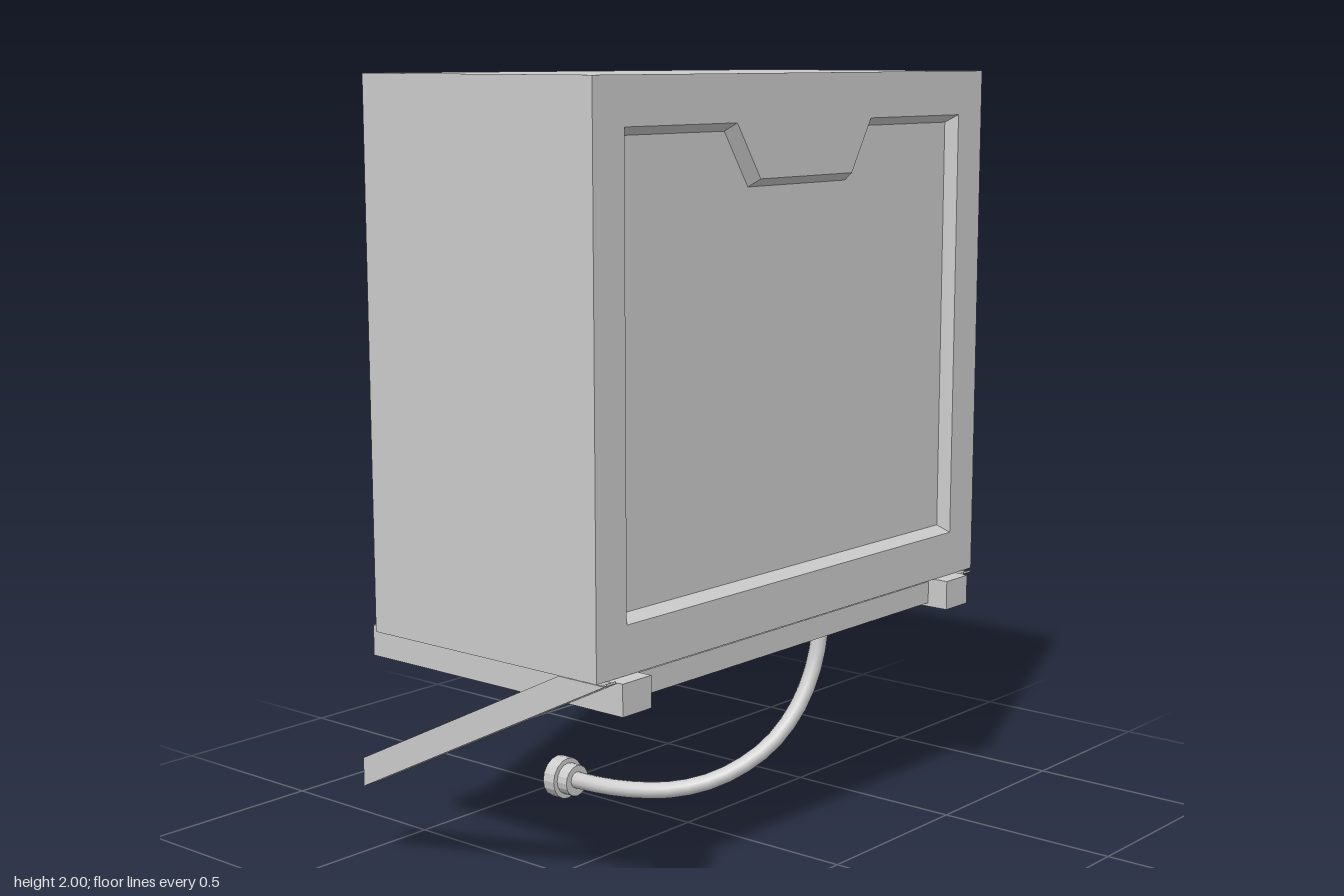
import * as THREE from 'three';

const grey = new THREE.MeshStandardMaterial({ color: 0xcccccc });
grey.name = 'light grey';
grey.side = THREE.DoubleSide;

function add(parent, name, geometry) {
  const mesh = new THREE.Mesh(geometry, grey);
  mesh.name = name;
  parent.add(mesh);
  return mesh;
}

function box(parent, name, x0, x1, y0, y1, z0, z1) {
  const g = new THREE.BoxGeometry(x1 - x0, y1 - y0, z1 - z0);
  add(parent, name, g.translate((x0 + x1) / 2, (y0 + y1) / 2, (z0 + z1) / 2));
}

const toShape = (pts) => new THREE.Shape(pts.map((p) => new THREE.Vector2(p[0], p[1])));

// Side profile in the XY plane, extruded from z0 to z1
function slab(parent, name, pts, z0, z1) {
  const g = new THREE.ExtrudeGeometry(toShape(pts), { depth: z1 - z0, bevelEnabled: false });
  add(parent, name, g.translate(0, 0, z0));
}

// Hollow bar with open ends: profile corners are lower left, lower right, upper right, upper left
function hollowBar(parent, name, [a, b, c, d], z0, z1) {
  const bar = new THREE.Group();
  bar.name = name;
  parent.add(bar);
  const t = 0.006;
  const up = (p, h) => [p[0], p[1] + h];
  slab(bar, 'frontWall', [a, b, c, d], z1 - t, z1);
  slab(bar, 'backWall', [a, b, c, d], z0, z0 + t);
  slab(bar, 'topWall', [up(d, -t), up(c, -t), c, d], z0 + t, z1 - t);
  slab(bar, 'bottomWall', [a, b, up(b, t), up(a, t)], z0 + t, z1 - t);
  return bar;
}

// Sloping walls between two outlines of equal length, in the panel's own plane
function slopedWalls(outer, inner, depth) {
  const pos = [];
  outer.forEach((p, i) => {
    const j = (i + 1) % outer.length;
    const a = [...p, depth], b = [...outer[j], depth];
    const c = [...inner[j], 0], d = [...inner[i], 0];
    pos.push(...a, ...b, ...c, ...a, ...c, ...d);
  });
  const g = new THREE.BufferGeometry();
  g.setAttribute('position', new THREE.Float32BufferAttribute(pos, 3));
  g.computeVertexNormals();
  return g;
}

export function createModel() {
  const model = new THREE.Group();
  model.name = 'wallCabinet';

  // Cabinet body
  const depth = 0.03, face = 0.38;
  box(model, 'cabinetBody', -0.365, face - depth, 0.625, 2, -0.78, 0.775);

  // Door frame with a sunken panel and a handle tab hanging from the top edge
  const frame = toShape([[-0.775, 0.625], [0.78, 0.625], [0.78, 2], [-0.775, 2]]);
  const opening = [[-0.67, 0.745], [0.67, 0.745], [0.67, 1.885], [0.27, 1.885],
    [0.19, 1.75], [-0.18, 1.75], [-0.27, 1.885], [-0.67, 1.885]];
  const floor = [[-0.65, 0.765], [0.65, 0.765], [0.65, 1.865], [0.282, 1.865],
    [0.202, 1.73], [-0.192, 1.73], [-0.282, 1.865], [-0.65, 1.865]];
  frame.holes.push(toShape(opening));
  const place = (g) => g.rotateY(Math.PI / 2).translate(face - depth, 0, 0);
  add(model, 'doorFrame', place(new THREE.ExtrudeGeometry(frame, { depth, bevelEnabled: false })));
  add(model, 'panelSlope', place(slopedWalls(opening, floor, depth)));

  // Support rails and diagonal braces
  const rail = [[-0.425, 0.545], [0.42, 0.545], [0.42, 0.624], [-0.425, 0.624]];
  const brace = [[-0.425, 0.21], [0.405, 0.624], [0.26, 0.624], [-0.425, 0.285]];
  for (const [side, r0, r1, b0, b1] of [
    ['front', 0.63, 0.73, 0.73, 0.775],
    ['back', -0.7, -0.6, -0.745, -0.7],
  ]) {
    const bar = hollowBar(model, side + 'Rail', rail, r0, r1);
    box(bar, 'endCap', 0.414, 0.42, 0.55, 0.619, r0 + 0.005, r1 - 0.005);
    hollowBar(model, side + 'Brace', brace, b0, b1);
  }
  box(model, 'crossBar', 0.3, 0.36, 0.555, 0.615, -0.6, 0.63);

  // Drain hose
  const path = new THREE.CatmullRomCurve3([
    [0.155, 0.6, -0.388], [0.155, 0.5, -0.38], [0.15, 0.39, -0.358], [0.138, 0.28, -0.3],
    [0.107, 0.185, -0.21], [0.04, 0.115, -0.1], [-0.05, 0.08, -0.02], [-0.17, 0.066, 0.035],
    [-0.28, 0.063, 0.06], [-0.395, 0.062, 0.065],
  ].map((p) => new THREE.Vector3(...p)));
  add(model, 'hose', new THREE.TubeGeometry(path, 20, 0.023, 12));

  // Stepped hose fittings, open at the wide end
  const profile = [[0.02, 0], [0.044, 0], [0.044, 0.035], [0.058, 0.035], [0.058, 0.075],
    [0.046, 0.075], [0.046, 0.04], [0.02, 0.04]].map((p) => new THREE.Vector2(...p));
  const fitting = () => {
    const g = new THREE.LatheGeometry(profile, 16).toNonIndexed();
    g.computeVertexNormals();
    return g;
  };
  add(model, 'topFitting', fitting()).position.set(0.155, 0.549, -0.388);
  const end = add(model, 'endFitting', fitting());
  end.rotation.z = Math.PI / 2;
  end.position.set(-0.35, 0.059, 0.062);

  return model;
}
